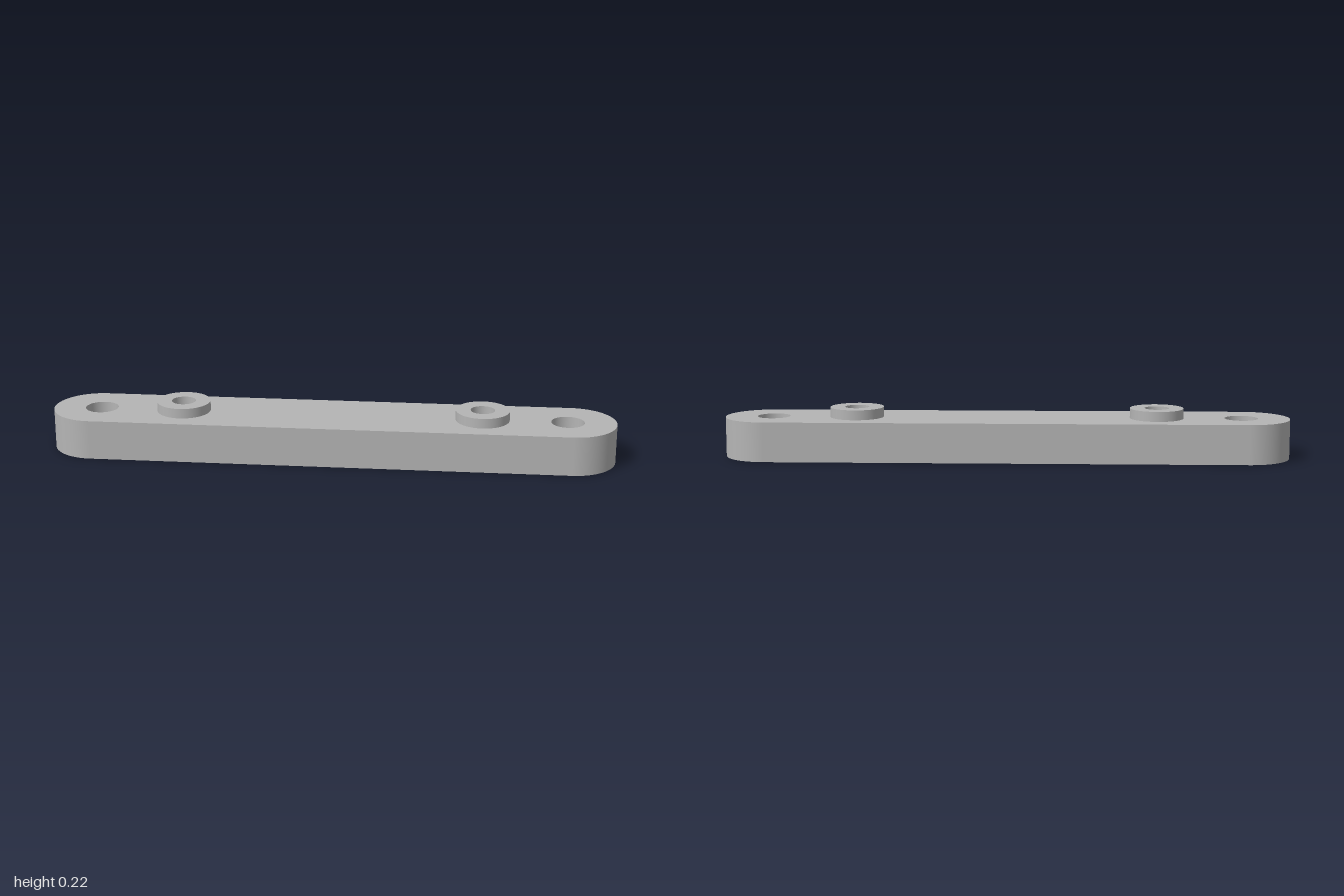
import * as THREE from 'three';

const HALF = 1.086;    // centre to end-arc centre
const RADIUS = 0.2;    // half the bar width
const HEIGHT = 0.18;
const SEGMENTS = 64;

// Outline of the bar, pierced by round holes given as [x, radius]
function barFace(holes) {
  const shape = new THREE.Shape();
  shape.moveTo(-HALF, -RADIUS);
  shape.lineTo(HALF, -RADIUS);
  shape.absarc(HALF, 0, RADIUS, -Math.PI / 2, Math.PI / 2);
  shape.absarc(-HALF, 0, RADIUS, Math.PI / 2, Math.PI * 1.5);
  for (const [x, r] of holes) {
    for (const side of [-1, 1]) {
      shape.holes.push(new THREE.Path().absarc(side * x, 0, r, 0, Math.PI * 2, true));
    }
  }
  return new THREE.ShapeGeometry(shape, SEGMENTS / 2);
}

export function createModel() {
  const grey = new THREE.MeshStandardMaterial({ color: 0xb5b5b5 });
  grey.name = 'grey';

  const model = new THREE.Group();
  model.name = 'linkBar';
  const bar = new THREE.Group();
  bar.name = 'bar';
  bar.rotation.y = Math.atan2(0.8, 0.735);
  model.add(bar);

  const add = (name, geometry, parent = bar) => {
    const mesh = new THREE.Mesh(geometry, grey);
    mesh.name = name;
    parent.add(mesh);
    return mesh;
  };

  // Hole profiles as [radius, y], solid on the left of the path
  const outerX = 1.066, innerX = 0.683;
  const boltHole = [[0.075, HEIGHT], [0.075, 0.08], [0.137, 0.08], [0.137, 0]];
  const bossHole = [[0.122, HEIGHT], [0.122, 0.225], [0.055, 0.225],
    [0.055, 0.07], [0.095, 0.07], [0.095, 0]];

  // Top and bottom faces
  add('topFace', barFace([[outerX, 0.075], [innerX, 0.122]]).rotateX(-Math.PI / 2)).position.y = HEIGHT;
  add('bottomFace', barFace([[outerX, 0.137], [innerX, 0.095]]).rotateX(Math.PI / 2));

  // Each segment is its own lathe so that the edges stay sharp
  const turned = (name, x, profile) => {
    const part = new THREE.Group();
    part.name = name;
    part.position.x = x;
    bar.add(part);
    for (let i = 0; i < profile.length - 1; i++) {
      const points = [profile[i], profile[i + 1]].map(([r, y]) => new THREE.Vector2(r, y));
      add(name + 'Surface', new THREE.LatheGeometry(points, SEGMENTS), part);
    }
  };

  for (const side of [-1, 1]) {
    // Rounded end wall
    const end = add('endWall', new THREE.CylinderGeometry(RADIUS, RADIUS, HEIGHT, SEGMENTS, 1, true,
      side > 0 ? 0 : Math.PI, Math.PI));
    end.position.set(side * HALF, HEIGHT / 2, 0);

    // Straight long wall
    const wall = add('sideWall', new THREE.PlaneGeometry(HALF * 2, HEIGHT));
    wall.position.set(0, HEIGHT / 2, side * RADIUS);
    wall.rotation.y = side > 0 ? 0 : Math.PI;

    // Counterbored end hole and raised boss with its bore
    turned('boltHole', side * outerX, boltHole);
    turned('boss', side * innerX, bossHole);
  }
  return model;
}
